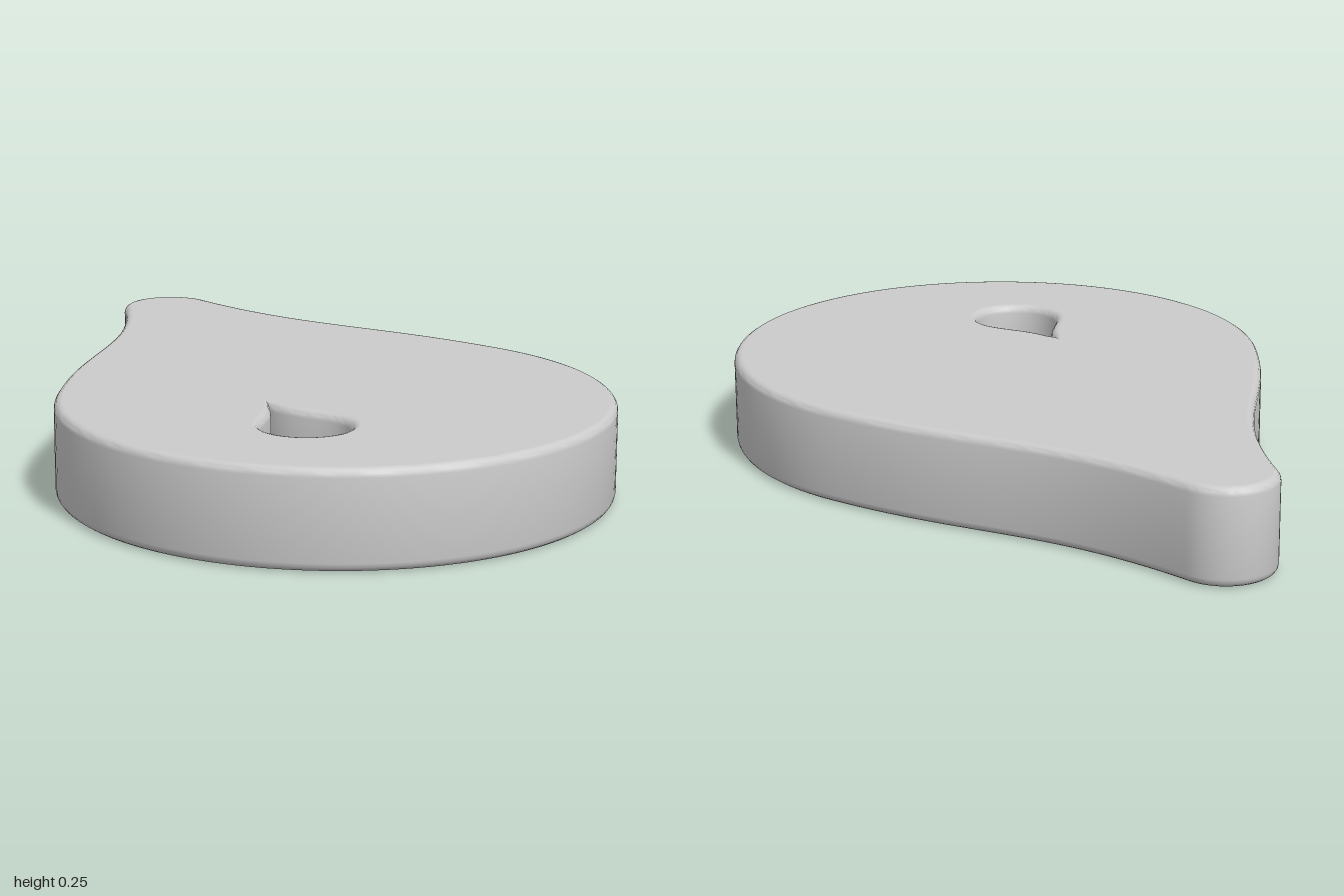
import * as THREE from 'three';
import { toCreasedNormals } from 'three/addons/utils/BufferGeometryUtils.js';

const HEIGHT = 0.245, BEVEL = 0.022;
const V = (x, y) => new THREE.Vector2(x, y);

// points on an arc about (0, cy), in plan coordinates (x, z)
function arc(cy, r, from, to, n) {
  return Array.from({ length: n + 1 }, (_, i) => {
    const a = from + (to - from) * i / n;
    return V(r * Math.cos(a), cy + r * Math.sin(a));
  });
}

// closed outline from a right half that runs from the round end to the tip, both on x = 0
function mirrored(half, cx = 0) {
  const left = half.slice(1, -1).reverse().map(p => V(-p.x, p.y));
  return [...left, ...half].reverse().map(p => V(p.x + cx, p.y));
}

function bodyOutline() {
  const a = Math.asin(0.3 / 0.7), b = 0.28;
  const bowl = arc(0.3, 0.7, Math.PI / 2, -a, 40);
  const tip = arc(-0.87, 0.13, -b, -Math.PI / 2, 12);
  const flank = new THREE.CubicBezierCurve(bowl.at(-1), V(0.442, -0.4), V(0.26, -0.46), tip[0]);
  tip[tip.length - 1].x = bowl[0].x = 0;
  return mirrored([...bowl, ...flank.getPoints(30).slice(1, -1), ...tip]);
}

function holeOutline() {
  const bowl = arc(0.542, 0.11, Math.PI / 2, -0.4, 16);
  bowl[0].x = 0;
  const flank = new THREE.CubicBezierCurve(bowl.at(-1), V(0.075, 0.44), V(0.02, 0.405), V(0, 0.315));
  return mirrored([...bowl, ...flank.getPoints(12).slice(1)], -0.185);
}

export function createModel() {
  const group = new THREE.Group();
  group.name = 'teardropTag';

  // slab with a small teardrop cut through it and rounded rims
  const shape = new THREE.Shape(bodyOutline());
  shape.holes.push(new THREE.Path(holeOutline()));
  let geo = new THREE.ExtrudeGeometry(shape, {
    depth: HEIGHT - 2 * BEVEL, bevelEnabled: true, bevelThickness: BEVEL,
    bevelSize: BEVEL, bevelOffset: -BEVEL, bevelSegments: 4,
  });
  geo.rotateX(Math.PI / 2).translate(0, HEIGHT - BEVEL, 0);
  geo = toCreasedNormals(geo, 0.6);

  // keep the top and bottom faces perfectly flat in shading
  const pos = geo.attributes.position, nor = geo.attributes.normal;
  for (let i = 0; i < pos.count; i++) {
    const y = pos.getY(i);
    if (y > HEIGHT - 1e-4) nor.setXYZ(i, 0, 1, 0);
    else if (y < 1e-4) nor.setXYZ(i, 0, -1, 0);
  }

  const body = new THREE.Mesh(geo, new THREE.MeshStandardMaterial({ color: 0xcccccc }));
  body.name = 'body';
  group.add(body);
  return group;
}
